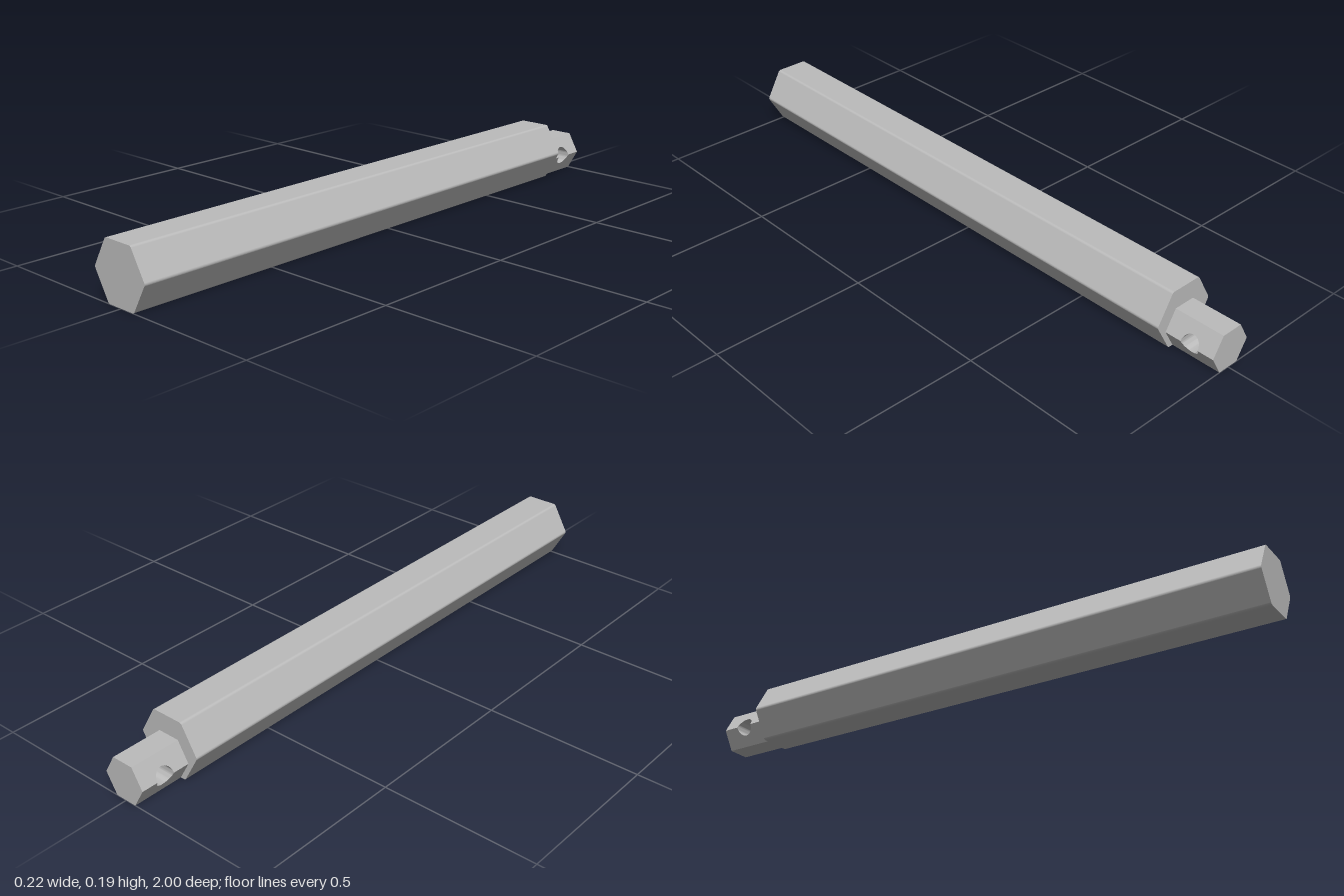
import * as THREE from 'three';
import { mergeGeometries, toCreasedNormals } from 'three/addons/utils/BufferGeometryUtils.js';

const BODY_APOTHEM = 0.095, CORNER_RADIUS = 0.01;
const TIP_APOTHEM = 0.0635, TIP_LENGTH = 0.167, HOLE_RADIUS = 0.03;

// Hexagon with a point at each side and slightly rounded corners
function roundedHexagon(apothem, r) {
  const shape = new THREE.Shape();
  const d = (apothem - r) * 2 / Math.sqrt(3);
  for (let i = 0; i < 6; i++) {
    const a = i * Math.PI / 3;
    shape.absarc(d * Math.cos(a), d * Math.sin(a), r, a - Math.PI / 6, a + Math.PI / 6, false);
  }
  shape.closePath();
  return shape;
}

// Upper half of the tip: a notched slab whose ends are sloped into hexagon sides
function tipHalf() {
  const h = TIP_LENGTH / 2;
  const shape = new THREE.Shape();
  shape.moveTo(HOLE_RADIUS, 0);
  shape.lineTo(h, 0);
  shape.lineTo(h, TIP_APOTHEM);
  shape.lineTo(-h, TIP_APOTHEM);
  shape.lineTo(-h, 0);
  shape.lineTo(-HOLE_RADIUS, 0);
  shape.absarc(0, 0, HOLE_RADIUS, Math.PI, 0, true);
  const geo = new THREE.ExtrudeGeometry(shape, { depth: 1, bevelEnabled: false, curveSegments: 24 });
  geo.translate(0, 0, -0.5).rotateY(Math.PI / 2);
  const p = geo.attributes.position;
  for (let i = 0; i < p.count; i++) {
    p.setX(i, Math.sign(p.getX(i)) * (2 * TIP_APOTHEM - p.getY(i)) / Math.sqrt(3));
  }
  return geo;
}

export function createModel() {
  const group = new THREE.Group();
  group.name = 'hexShaft';
  const steel = new THREE.MeshStandardMaterial({ color: 0xbcbcbc });
  steel.name = 'steelGrey';

  // Long hexagonal body
  const body = new THREE.Mesh(
    new THREE.ExtrudeGeometry(roundedHexagon(BODY_APOTHEM, CORNER_RADIUS), {
      depth: 2 - TIP_LENGTH, bevelEnabled: false, curveSegments: 6,
    }), steel);
  body.name = 'body';
  body.position.set(0, BODY_APOTHEM, -1 + TIP_LENGTH);
  group.add(body);

  // Smaller hexagonal tip, flush with the underside and drilled from side to side
  const tipGeo = mergeGeometries([tipHalf(), tipHalf().rotateZ(Math.PI)]);
  const tip = new THREE.Mesh(toCreasedNormals(tipGeo, 0.4), steel);
  tip.name = 'drilledTip';
  tip.position.set(0, TIP_APOTHEM, -1 + TIP_LENGTH / 2);
  group.add(tip);

  return group;
}
